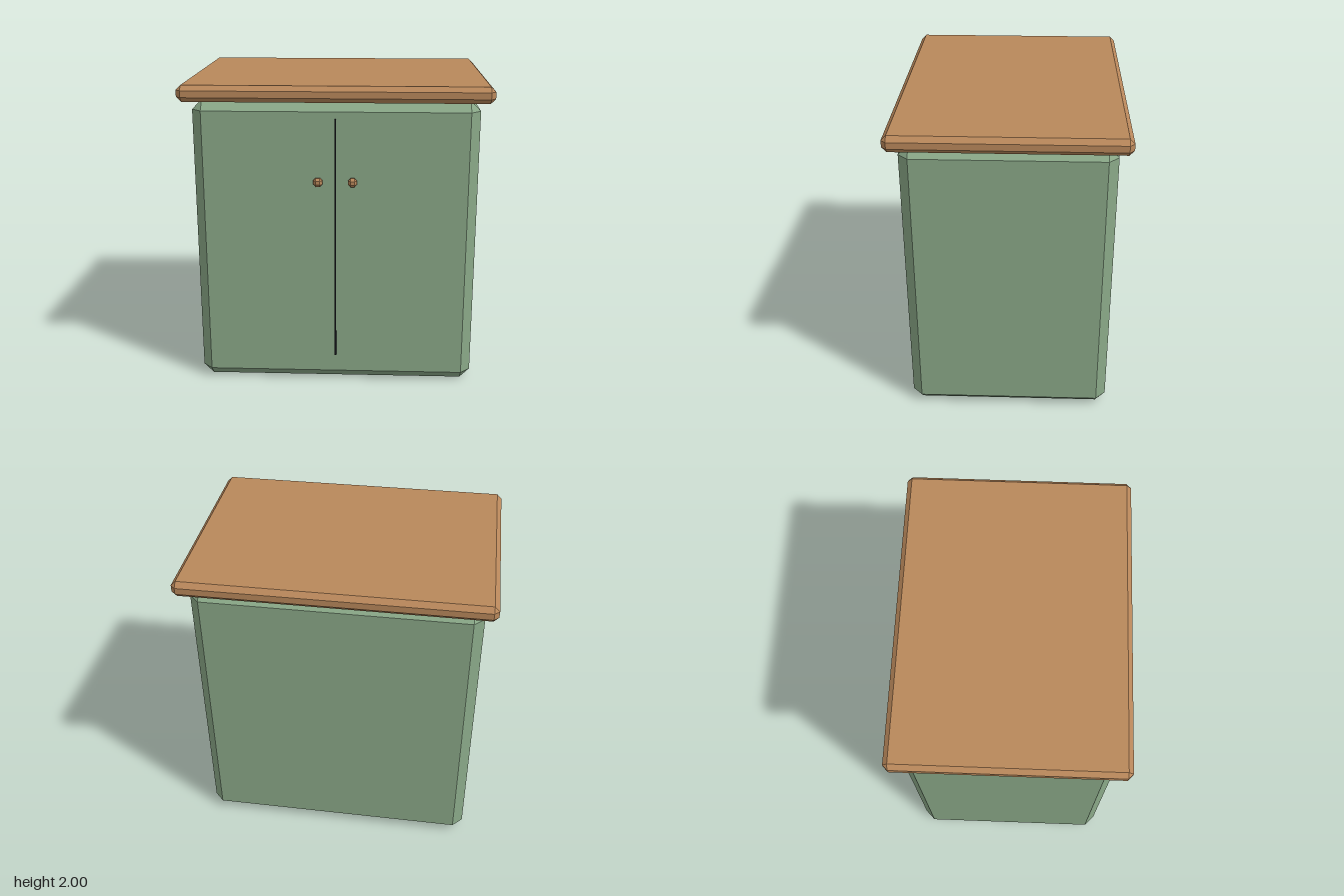
import * as THREE from 'three';
import { ConvexGeometry } from 'three/addons/geometries/ConvexGeometry.js';

// Box with every edge cut at 45 degrees
function chamferBox(name, size, position, c, material) {
  const [w, h, d] = size.map((s) => s / 2);
  const points = [];
  for (const x of [-1, 1]) for (const y of [-1, 1]) for (const z of [-1, 1]) {
    points.push(
      new THREE.Vector3(x * w, y * (h - c), z * (d - c)),
      new THREE.Vector3(x * (w - c), y * h, z * (d - c)),
      new THREE.Vector3(x * (w - c), y * (h - c), z * d),
    );
  }
  const mesh = new THREE.Mesh(new ConvexGeometry(points), material);
  mesh.name = name;
  mesh.position.set(...position);
  return mesh;
}

function makeMaterial(name, color) {
  const material = new THREE.MeshStandardMaterial({ color });
  material.name = name;
  return material;
}

export function createModel() {
  const green = makeMaterial('sage green paint', 0x8aa888);
  const wood = makeMaterial('warm wood', 0xb9885b);
  const dark = makeMaterial('dark gap', 0x1c1c22);

  const group = new THREE.Group();
  group.name = 'cabinet';

  // Body and overhanging worktop
  group.add(chamferBox('body', [1.814, 1.896, 1.308], [0, 0.948, 0], 0.064, green));
  group.add(chamferBox('worktop', [1.962, 0.104, 1.456], [0, 1.948, 0], 0.031, wood));

  // Gap between the two doors
  const gap = new THREE.Mesh(new THREE.BoxGeometry(0.01, 1.606, 0.009), dark);
  gap.name = 'doorGap';
  gap.position.set(0, 0.984, 0.6585);
  group.add(gap);

  // Door knobs
  for (const side of [-1, 1]) {
    const name = side > 0 ? 'leftKnob' : 'rightKnob';
    group.add(chamferBox(name, [0.058, 0.056, 0.046], [side * 0.11, 1.386, 0.677], 0.016, wood));
  }
  return group;
}
